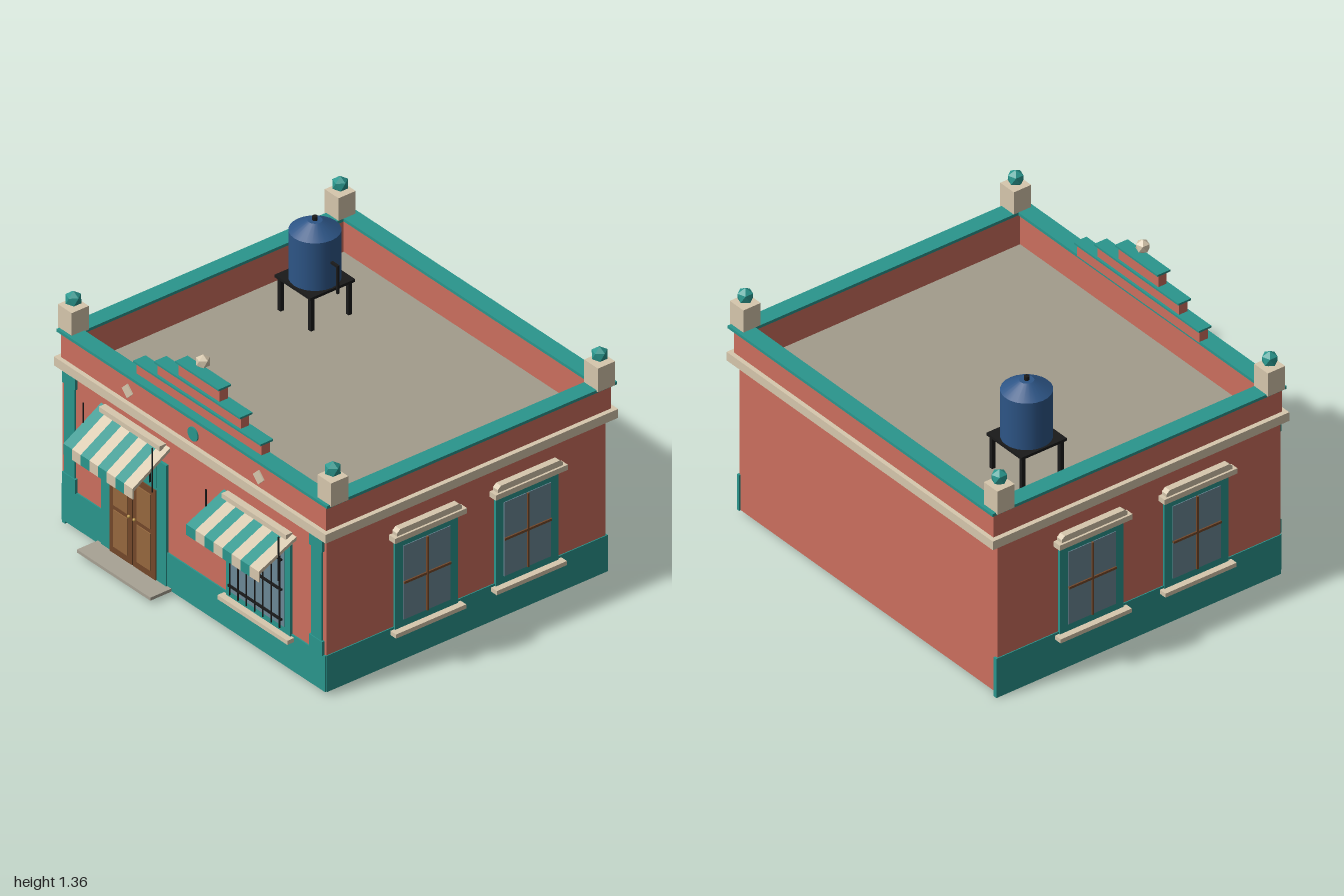
import * as THREE from 'three';

const mats = {};
const palette = {
  coral: 0xcc6f5e, teal: 0x2a968d, cream: 0xd6c7ad, roof: 0xa39c8c, brown: 0x74482a,
  panel: 0x96683e, glass: 0x6b8896, black: 0x1a1a1a, blue: 0x2d5586, brass: 0xc09a4a, stone: 0xa8a294,
};
for (const k in palette) mats[k] = new THREE.MeshStandardMaterial({ color: palette[k] });

function add(parent, name, geo, color, x = 0, y = 0, z = 0) {
  const m = new THREE.Mesh(geo, mats[color]);
  m.name = name;
  m.position.set(x, y, z);
  parent.add(m);
  return m;
}

// Box given by its extents
function box(parent, name, color, x0, x1, y0, y1, z0, z1) {
  return add(parent, name, new THREE.BoxGeometry(x1 - x0, y1 - y0, z1 - z0), color,
    (x0 + x1) / 2, (y0 + y1) / 2, (z0 + z1) / 2);
}

function group(parent, name, x = 0, y = 0, z = 0) {
  const g = new THREE.Group();
  g.name = name;
  g.position.set(x, y, z);
  parent.add(g);
  return g;
}

function extrude(points, depth) {
  const shape = new THREE.Shape(points.map(p => new THREE.Vector2(p[0], p[1])));
  return new THREE.ExtrudeGeometry(shape, { depth, bevelEnabled: false });
}

// Icosahedron with one corner pointing up
function finial(parent, name, color, r, x, y, z) {
  const geo = new THREE.IcosahedronGeometry(r, 0);
  geo.rotateZ(-Math.atan(2 / (1 + Math.sqrt(5))));
  add(parent, name, geo, color, x, y, z);
}

// Four bars round a rectangle
function ring(parent, name, color, x, z0, z1, t, y0, y1) {
  box(parent, name + 'Front', color, -x, x, y0, y1, z1 - t, z1);
  box(parent, name + 'Back', color, -x, x, y0, y1, z0, z0 + t);
  for (const s of [-1, 1])
    box(parent, name + 'Side', color, s > 0 ? x - t : -x, s > 0 ? x : t - x, y0, y1, z0 + t, z1 - t);
}

// Side window, facing local +z
function sideWindow(parent, side, z) {
  const w = group(parent, 'sideWindow', side * 0.95, 0, z);
  w.rotation.y = side * Math.PI / 2;
  box(w, 'windowFrame', 'teal', -0.183, 0.183, 0.2, 0.69, -0.01, 0.012);
  box(w, 'windowPane', 'glass', -0.137, 0.137, 0.24, 0.635, 0, 0.016);
  box(w, 'mullion', 'brown', -0.005, 0.005, 0.24, 0.635, 0, 0.024);
  box(w, 'transom', 'brown', -0.137, 0.137, 0.434, 0.446, 0, 0.023);
  box(w, 'sill', 'cream', -0.205, 0.205, 0.18, 0.202, -0.01, 0.046);
  box(w, 'lintel', 'cream', -0.21, 0.21, 0.688, 0.716, -0.01, 0.046);
  add(w, 'lintelCrown', extrude([[-0.19, 0.716], [0.19, 0.716], [0.19, 0.732],
    [0.172, 0.748], [-0.172, 0.748], [-0.19, 0.732]], 0.045), 'cream', 0, 0, -0.01);
}

// Striped awning with valance, head rail and hanger rods
function awning(parent, x0, x1, top) {
  const a = group(parent, 'awning');
  const n = 8, w = (x1 - x0) / n;
  const profile = [[0.73, top], [0.73, top - 0.018], [0.943, 0.628], [0.943, 0.587], [0.95, 0.587], [0.95, 0.644]];
  for (let i = 0; i < n; i++) {
    const geo = extrude(profile, w);
    geo.rotateY(-Math.PI / 2);
    add(a, 'awningStripe', geo, i % 2 ? 'cream' : 'teal', x0 + (i + 1) * w);
  }
  box(a, 'awningRail', 'cream', x0 + 0.03, x1 - 0.03, top - 0.018, top + 0.008, 0.725, 0.768);
  for (const x of [x0, x1])
    add(a, 'awningRod', new THREE.CylinderGeometry(0.004, 0.004, 0.235, 6), 'black', x, top - 0.077, 0.835);
}

export function createModel() {
  const g = new THREE.Group();
  g.name = 'house';

  // Walls, roof and painted base
  box(g, 'walls', 'coral', -0.95, 0.95, 0.02, 0.845, -0.9, 0.73);
  box(g, 'roofDeck', 'roof', -0.9, 0.9, 0.83, 0.85, -0.87, 0.67);
  box(g, 'frontBase', 'teal', -0.95, 0.95, 0.02, 0.212, 0.72, 0.737);
  box(g, 'leftBase', 'teal', 0.94, 0.955, 0.02, 0.214, -0.91, 0.73);
  box(g, 'rightBase', 'teal', -0.955, -0.935, 0.0, 0.214, -0.91, 0.73);

  // Cornice, parapet and coping
  ring(g, 'cornice', 'cream', 0.98, -0.95, 0.758, 0.08, 0.838, 0.885);
  ring(g, 'parapet', 'coral', 0.955, -0.927, 0.735, 0.065, 0.84, 1.018);
  ring(g, 'coping', 'teal', 0.975, -0.948, 0.746, 0.09, 1.016, 1.031);

  // Corner posts with finials
  for (const x of [-0.935, 0.935])
    for (const z of [-0.878, 0.68]) {
      box(g, 'cornerPost', 'cream', x - 0.05, x + 0.05, 1.025, 1.152, z - 0.05, z + 0.05);
      finial(g, 'cornerFinial', 'teal', 0.042, x, 1.186, z);
    }

  // Stepped gable
  [[0.45, 1.03, 1.09], [0.3, 1.1, 1.16], [0.147, 1.17, 1.236]].forEach(([w, y0, y1]) => {
    box(g, 'gableStep', 'coral', -w, w, y0 - 0.005, y1, 0.655, 0.703);
    box(g, 'gableCap', 'teal', -w - 0.01, w + 0.01, y1, y1 + 0.01, 0.643, 0.716);
  });
  finial(g, 'gableFinial', 'cream', 0.037, 0, 1.306, 0.68);

  // Parapet ornaments
  for (const x of [-0.473, 0.473]) {
    const d = box(g, 'diamond', 'cream', x - 0.027, x + 0.027, 0.913, 0.967, 0.73, 0.742);
    d.rotation.z = Math.PI / 4;
  }
  const disc = add(g, 'roundel', new THREE.CylinderGeometry(0.036, 0.036, 0.012, 20), 'teal', 0, 0.94, 0.736);
  disc.rotation.x = Math.PI / 2;

  // Corner pilasters
  for (const s of [-1, 1]) {
    const p = group(g, 'pilaster', s * 0.89);
    box(p, 'pilasterShaft', 'teal', -0.037, 0.037, 0.21, 0.838, 0.72, 0.74);
    box(p, 'pilasterBase', 'teal', -0.048, 0.048, 0.21, 0.285, 0.72, 0.745);
    box(p, 'pilasterCapital', 'teal', -0.048, 0.048, 0.765, 0.838, 0.72, 0.745);
  }

  // Front door
  const door = group(g, 'door', -0.423);
  box(door, 'doorFrame', 'teal', -0.235, 0.235, 0.02, 0.68, 0.72, 0.744);
  box(door, 'doorStep', 'stone', -0.265, 0.265, 0.018, 0.034, 0.72, 0.86);
  for (const s of [-1, 1]) {
    const leaf = group(door, 'doorLeaf', s * 0.084);
    box(leaf, 'leafBoard', 'brown', -0.081, 0.081, 0.034, 0.515, 0.735, 0.75);
    box(leaf, 'upperPanel', 'panel', -0.05, 0.05, 0.295, 0.48, 0.74, 0.755);
    box(leaf, 'lowerPanel', 'panel', -0.05, 0.05, 0.072, 0.27, 0.74, 0.755);
    add(leaf, 'doorKnob', new THREE.SphereGeometry(0.008, 10, 8), 'brass', -s * 0.065, 0.29, 0.756);
  }
  box(door, 'fanlight', 'teal', -0.167, 0.167, 0.53, 0.65, 0.735, 0.747);
  for (let i = -2; i <= 2; i++)
    box(door, 'fanlightBar', 'black', i * 0.063 - 0.003, i * 0.063 + 0.003, 0.543, 0.65, 0.74, 0.754);
  awning(g, -0.673, -0.175, 0.777);

  // Barred front window
  const win = group(g, 'frontWindow', 0.475);
  box(win, 'windowFrame', 'teal', -0.232, 0.232, 0.2, 0.69, 0.72, 0.744);
  box(win, 'windowPane', 'glass', -0.192, 0.192, 0.235, 0.64, 0.735, 0.748);
  box(win, 'sill', 'cream', -0.252, 0.252, 0.18, 0.202, 0.72, 0.777);
  for (let i = -3; i <= 3; i++)
    add(win, 'windowBar', new THREE.CylinderGeometry(0.004, 0.004, 0.41, 6), 'black', i * 0.06, 0.437, 0.764);
  for (const y of [0.28, 0.44, 0.6])
    box(win, 'crossBar', 'black', -0.192, 0.192, y - 0.005, y + 0.005, 0.758, 0.768);
  awning(g, 0.212, 0.735, 0.745);

  // Side windows
  for (const z of [0.155, -0.433]) sideWindow(g, 1, z);
  for (const z of [0.237, -0.367]) sideWindow(g, -1, z);

  // Water tank on its stand
  const tank = group(g, 'waterTank', -0.573, 0, -0.437);
  box(tank, 'standTop', 'black', -0.13, 0.13, 1.024, 1.038, -0.13, 0.13);
  for (const x of [-0.11, 0.11])
    for (const z of [-0.11, 0.11])
      box(tank, 'standLeg', 'black', x - 0.01, x + 0.01, 0.85, 1.026, z - 0.01, z + 0.01);
  add(tank, 'tankBody', new THREE.CylinderGeometry(0.121, 0.121, 0.254, 24), 'blue', 0, 1.165, 0);
  add(tank, 'tankShoulder', new THREE.CylinderGeometry(0.035, 0.121, 0.052, 24), 'blue', 0, 1.318, 0);
  add(tank, 'tankCap', new THREE.CylinderGeometry(0.013, 0.013, 0.022, 12), 'black', 0, 1.353, 0);
  box(tank, 'pipeElbow', 'black', 0.11, 0.171, 1.168, 1.18, -0.006, 0.006);
  box(tank, 'pipeDrop', 'black', 0.159, 0.171, 1.03, 1.18, -0.006, 0.006);
  return g;
}
